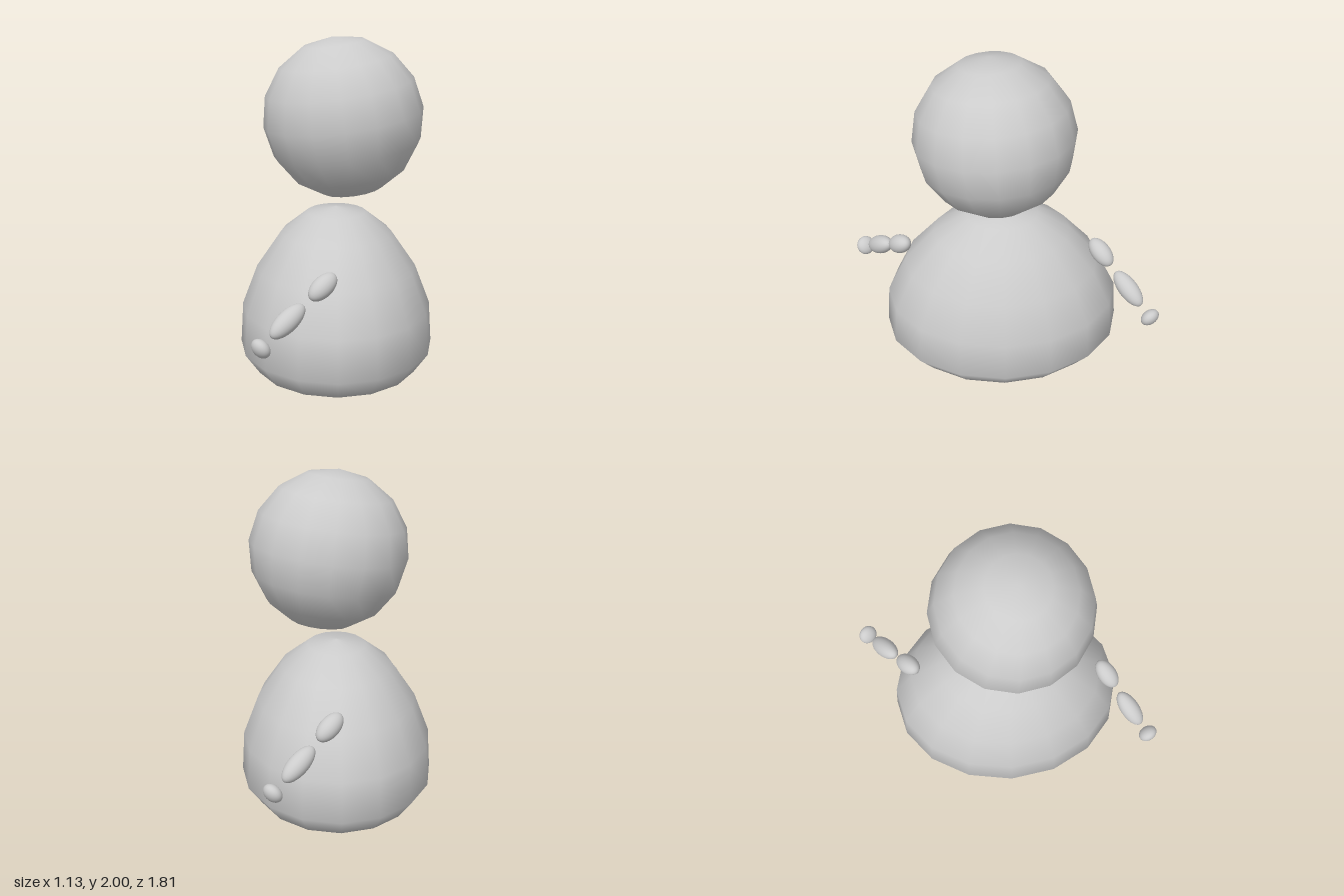
import * as THREE from 'three';

const material = new THREE.MeshStandardMaterial({ color: 0xcccccc });

function addMesh(parent, name, geometry) {
  const mesh = new THREE.Mesh(geometry, material);
  mesh.name = name;
  parent.add(mesh);
  return mesh;
}

// Arm of three floating beads: two long ones and a flattened hand
function createArm(name, centres) {
  const arm = new THREE.Group();
  arm.name = name;
  const points = centres.map((c) => new THREE.Vector3(...c));
  const direction = points[2].clone().sub(points[0]).normalize();
  const turn = new THREE.Quaternion().setFromUnitVectors(new THREE.Vector3(0, 1, 0), direction);
  const beads = [
    ['upperArm', 0.057, 0.098],
    ['forearm', 0.057, 0.124],
    ['hand', 0.058, 0.041],
  ];
  beads.forEach(([part, radius, halfLength], i) => {
    const bead = addMesh(arm, part, new THREE.SphereGeometry(1, 24, 16));
    bead.scale.set(radius, halfLength, radius);
    bead.quaternion.copy(turn);
    bead.position.copy(points[i]);
  });
  return arm;
}

export function createModel() {
  const model = new THREE.Group();
  model.name = 'figure';

  // Domed body with a rounded, nearly flat base, deeper than it is wide
  const profile = [
    [0, 0], [0.49, 0.025], [0.85, 0.08], [1, 0.2], [0.975, 0.435],
    [0.82, 0.665], [0.57, 0.87], [0.3, 0.99], [0, 1.02],
  ].map(([r, y]) => new THREE.Vector2(r, y));
  const body = addMesh(model, 'body', new THREE.LatheGeometry(profile, 16));
  body.scale.set(0.565, 1, 0.705);

  // Slightly tilted floating head
  const head = addMesh(model, 'head', new THREE.SphereGeometry(0.458, 16, 8));
  head.position.set(0.04, 1.545, 0.04);
  head.rotation.set(0.06, 0, 0.13);

  // Arms at the front and the back
  model.add(createArm('frontArm', [[-0.08, 0.715, 0.61], [-0.265, 0.57, 0.745], [-0.4, 0.46, 0.853]]));
  model.add(createArm('backArm', [[0.062, 0.725, -0.588], [0.233, 0.582, -0.737], [0.37, 0.475, -0.853]]));

  return model;
}
